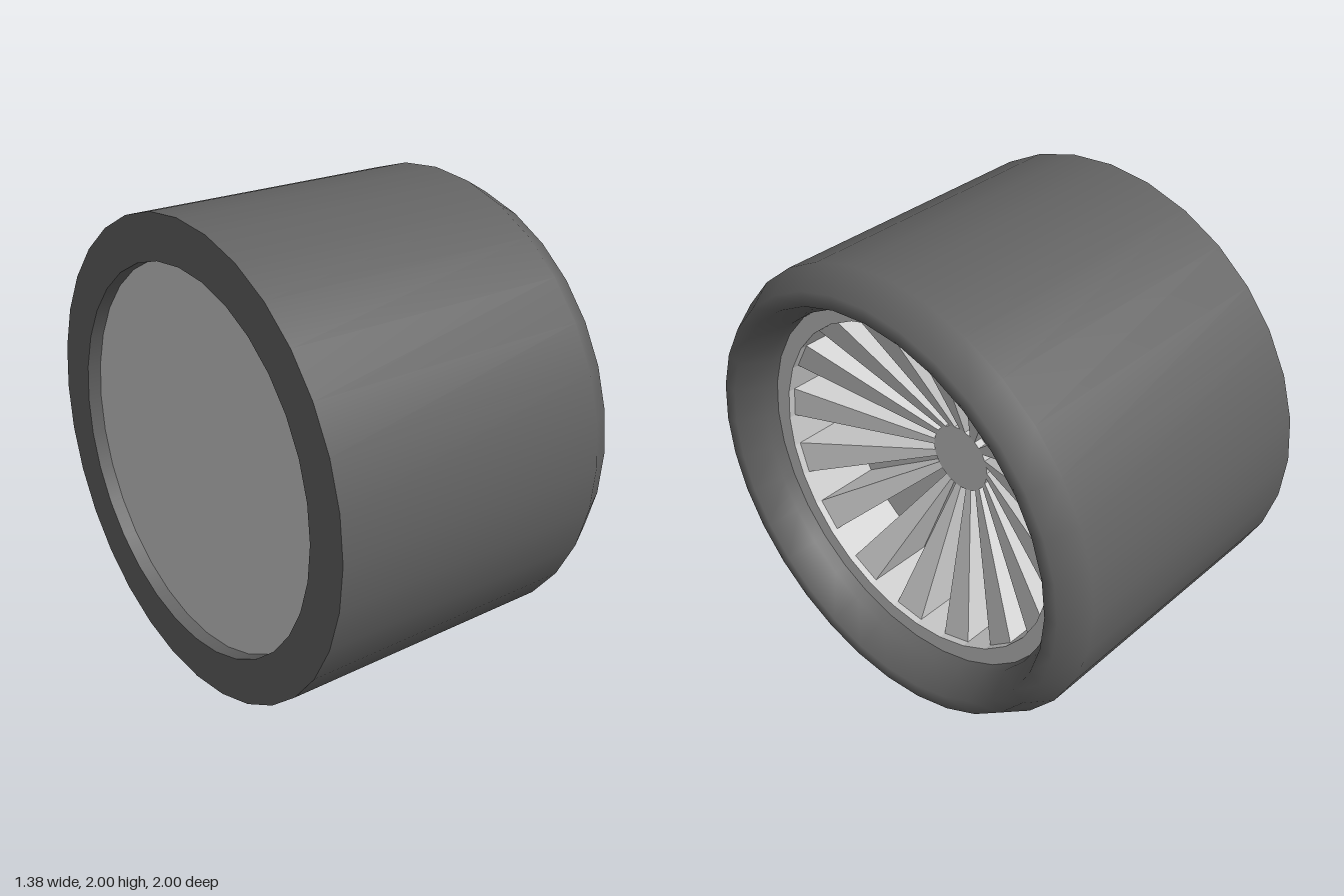
import * as THREE from 'three';

const SIDES = 32;
const STEP = (Math.PI * 2) / SIDES;

const rubber = new THREE.MeshStandardMaterial({ color: 0x626262 });
const metal = new THREE.MeshStandardMaterial({ color: 0xcccccc });
const metalFlat = new THREE.MeshStandardMaterial({ color: 0xcccccc, flatShading: true });

// Surface of revolution about the x axle; profile points are [radius, x]
function turned(name, profile, material) {
  const points = profile.map(([r, x]) => new THREE.Vector2(r, x));
  const geometry = new THREE.LatheGeometry(points, SIDES);
  geometry.rotateZ(-Math.PI / 2);
  const mesh = new THREE.Mesh(geometry, material);
  mesh.name = name;
  return mesh;
}

// Flat disc or ring across the axle, facing +x (dir = 1) or -x (dir = -1)
function flatRing(name, inner, outer, x, dir, material) {
  const geometry = inner > 0
    ? new THREE.RingGeometry(inner, outer, SIDES)
    : new THREE.CircleGeometry(outer, SIDES);
  geometry.rotateY((dir * Math.PI) / 2);
  geometry.translate(x, 0, 0);
  const mesh = new THREE.Mesh(geometry, material);
  mesh.name = name;
  return mesh;
}

// Wedge spoke: a ramp from the deep hub up to the rim, with two side walls
function spokeGeometry(inner, outer, hubX, rimX, floorX) {
  const positions = [];
  for (const t of [0, STEP]) {
    const c = Math.cos(t), s = -Math.sin(t);
    positions.push(
      hubX, inner * c, inner * s,
      rimX, outer * c, outer * s,
      floorX, outer * c, outer * s,
      floorX, inner * c, inner * s
    );
  }
  const geometry = new THREE.BufferGeometry();
  geometry.setAttribute('position', new THREE.Float32BufferAttribute(positions, 3));
  geometry.setIndex([
    0, 5, 1, 0, 4, 5, // ramp
    0, 1, 2, 0, 2, 3, // first side
    4, 6, 5, 4, 7, 6, // second side
    0, 3, 7, 0, 7, 4  // hub end
  ]);
  const flat = geometry.toNonIndexed();
  flat.computeVertexNormals();
  return flat;
}

export function createModel() {
  const wheel = new THREE.Group();
  wheel.name = 'wheel';
  wheel.position.y = 1;

  // Tyre: tread, rounded outer lip and inner wall, with a flat back face
  const tyre = new THREE.Group();
  tyre.name = 'tyre';
  tyre.add(
    turned('tread', [[1, -0.69], [1, 0.57], [0.93, 0.69], [0.87, 0.69], [0.81, 0.57], [0.81, 0.45]], rubber),
    turned('innerWall', [[0.81, 0.45], [0.81, -0.69]], rubber),
    flatRing('tyreBack', 0.81, 1, -0.69, -1, rubber)
  );
  wheel.add(tyre);

  // Rim: flat front ring, dished well and closed back
  const rim = new THREE.Group();
  rim.name = 'rim';
  rim.add(
    flatRing('rimRing', 0.735, 0.81, 0.51, 1, metal),
    turned('rimWell', [[0.735, 0.51], [0.735, 0.18]], metalFlat),
    flatRing('rimFloor', 0, 0.735, 0.18, 1, metal),
    flatRing('rimBack', 0, 0.81, -0.63, -1, metal)
  );
  wheel.add(rim);

  // Hub
  const hub = new THREE.Group();
  hub.name = 'hub';
  hub.add(
    turned('hubSide', [[0.15, 0.18], [0.15, 0.22]], metalFlat),
    flatRing('hubCap', 0, 0.15, 0.22, 1, metal)
  );
  wheel.add(hub);

  // Spokes fill every other sector
  const geometry = spokeGeometry(0.15, 0.735, 0.22, 0.48, 0.18);
  const spokes = new THREE.Group();
  spokes.name = 'spokes';
  for (let i = 0; i < SIDES / 2; i++) {
    const spoke = new THREE.Mesh(geometry, metalFlat);
    spoke.name = 'spoke';
    spoke.rotation.x = -i * 2 * STEP;
    spokes.add(spoke);
  }
  wheel.add(spokes);

  const model = new THREE.Group();
  model.name = 'wheelModel';
  model.add(wheel);
  return model;
}
